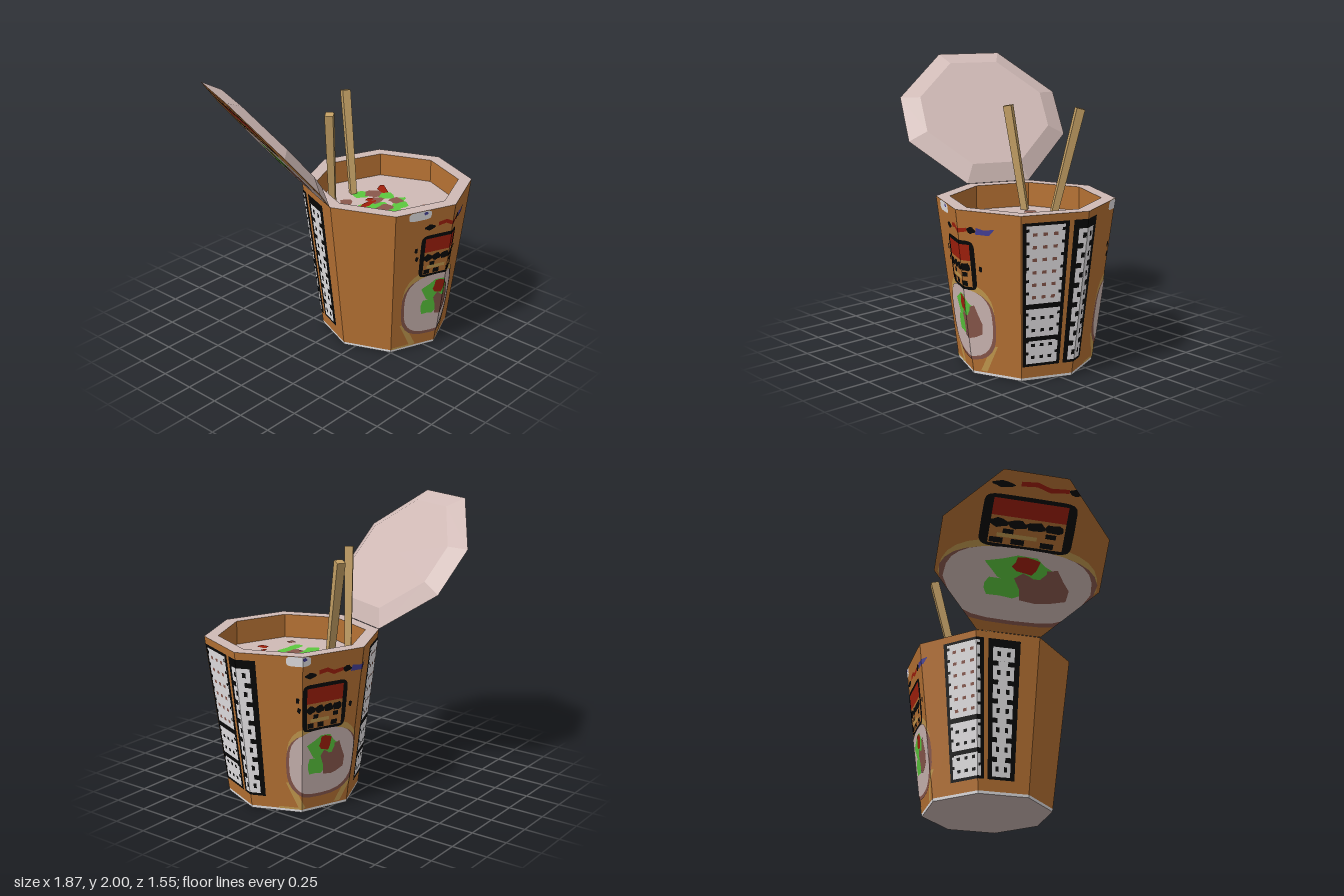
import * as THREE from 'three';
import { mergeGeometries } from 'three/addons/utils/BufferGeometryUtils.js';

const R0 = 0.46, R1 = 0.605, RIM = 0.51, H = 1.14, CX = 0.33, CZ = 0.17, SOUP = 0.97;

function makeMaterials() {
  const colors = {
    cardboard: 0xb87334, paper: 0xd0bab6, white: 0xe8e6e8, black: 0x070707, red: 0xa3200c,
    green: 0x5cc83e, meat: 0x8a584c, blue: 0x464098, wood: 0xc4a065, tan: 0xc69c50,
  };
  const mats = {};
  for (const [name, color] of Object.entries(colors)) {
    mats[name] = new THREE.MeshStandardMaterial({ color });
    mats[name].name = name;
  }
  return mats;
}

// faceted normals
function facet(geo) {
  const g = geo.index ? geo.toNonIndexed() : geo;
  g.computeVertexNormals();
  return g;
}

// keep the part of a polygon on one side of x = limit
function clip(pts, limit, sign) {
  const out = [];
  pts.forEach((p, i) => {
    const q = pts[(i + 1) % pts.length];
    const a = (p[0] - limit) * sign, b = (q[0] - limit) * sign;
    if (a >= 0) out.push(p);
    if ((a > 0 && b < 0) || (a < 0 && b > 0)) {
      const t = a / (a - b);
      out.push([limit, p[1] + (q[1] - p[1]) * t]);
    }
  });
  return out;
}

const rect = (x0, y0, x1, y1) => [[x0, y0], [x1, y0], [x1, y1], [x0, y1]];

// superellipse outline
function oval(cx, cy, rx, ry, power = 1, n = 28) {
  return Array.from({ length: n }, (_, i) => {
    const a = (i / n) * Math.PI * 2, c = Math.cos(a), s = Math.sin(a);
    return [cx + rx * Math.sign(c) * Math.abs(c) ** power, cy + ry * Math.sign(s) * Math.abs(s) ** power];
  });
}

// ragged oval
function blob(cx, cy, rx, ry, seed = 1) {
  return oval(cx, cy, rx, ry, 1, 11).map(([x, y], i) => {
    const k = 1.03 + 0.16 * Math.sin(seed * 7.3 + i * 2.4);
    return [cx + (x - cx) * k, cy + (y - cy) * k];
  });
}

// collects flat shapes by colour and lays them on a surface
function painter(mats, map, sector = 0) {
  const lists = {};
  return {
    paint(color, layer, pts) {
      let pieces = [[pts, 0]];
      if (sector) {
        const xs = pts.map((p) => p[0]);
        pieces = [];
        for (let k = Math.floor(Math.min(...xs) / sector); k * sector < Math.max(...xs); k++)
          pieces.push([clip(clip(pts, k * sector, 1), (k + 1) * sector, -1), k]);
      }
      for (const [poly, k] of pieces) {
        if (poly.length < 3) continue;
        const g = new THREE.ShapeGeometry(new THREE.Shape(poly.map(([x, y]) => new THREE.Vector2(x, y))));
        const pos = g.attributes.position;
        for (let i = 0; i < pos.count; i++) pos.setXYZ(i, ...map(pos.getX(i), pos.getY(i), layer * 0.002, k));
        (lists[color] ??= []).push(facet(g));
      }
    },
    finish(name) {
      const group = new THREE.Group();
      group.name = name;
      for (const [color, list] of Object.entries(lists)) {
        const mesh = new THREE.Mesh(mergeGeometries(list), mats[color]);
        mesh.name = `${name} ${color}`;
        group.add(mesh);
      }
      return group;
    },
  };
}

// (degrees, height) to the eight-sided wall
function wall(deg, y, off, k) {
  const r = R0 + ((R1 - R0) * y) / H + off * 1.1;
  const a = (k * Math.PI) / 4, b = a + Math.PI / 4, t = deg / 45 - k;
  return [
    r * (Math.sin(a) * (1 - t) + Math.sin(b) * t), y,
    r * (Math.cos(a) * (1 - t) + Math.cos(b) * t),
  ];
}

// picture coordinates to the lid's outer face, kept inside its outline
function lidFace(x, y, off) {
  const z = THREE.MathUtils.clamp(0.6 - y * 1.06, -0.555, 0.555);
  const half = 0.592 - Math.max(0, Math.abs(z) - 0.187) * 0.973;
  return [THREE.MathUtils.clamp(-x * 0.019, -half, half), -off, z];
}

// bowl, framed badge and small marks
function picture(paint, c, full) {
  const P = (color, layer, pts) => paint(color, layer, pts.map(([x, y]) => [x + c, y]));
  P('tan', 1, oval(0, 0.39, 30, 0.26, 0.75));
  P('meat', 2, oval(0, 0.35, 30.5, 0.25, 0.72));
  P('paper', 3, oval(0, 0.365, 28, 0.24, 0.72));
  P('green', 4, blob(0, 0.47, 12, 0.085, 2));
  P('green', 4, blob(-5, 0.34, 8, 0.065, 4));
  P('meat', 4.4, blob(9, 0.37, 10, 0.115, 3));
  P('green', 4.6, blob(6, 0.46, 4, 0.04, 6));
  P('red', 4.8, blob(2, 0.5, 5, 0.055, 5));
  P('black', 1.5, oval(0, 0.767, 17.5, 0.17, 0.25));
  P('cardboard', 2.5, rect(-14, 0.62, 14, 0.8));
  P('red', 2.5, rect(-14, 0.8, 14, 0.91));
  P('tan', 3, rect(-11, 0.665, 4, 0.69));
  for (const x of [-11, -4, 3, 10]) P('black', 3.5, blob(x, 0.755, 3.6, 0.028, x));
  for (const x of [-11, -3, 8]) P('black', 3.5, rect(x - 2.5, 0.625, x + 2.5, 0.66));
  for (const x of [-7, 9]) P('black', 3.5, rect(x - 2, 0.69, x + 2, 0.72));
  P('black', 1, blob(-11.5, 1.0, 4, 0.02, 1));
  P('red', 1, [[-5, 1.0], [1, 1.01], [6, 0.985], [13, 1.0], [13, 1.025], [6, 1.015], [1, 1.04], [-5, 1.03]]);
  P('black', 1, blob(16, 1.01, 3, 0.022, 2));
  if (!full) return;
  for (const s of [-1, 1])
    P('tan', 1, [[s * 31, 0.22], [s * 20, 0.03], [s * 14, 0.03], [s * 26, 0.22]]);
  P('tan', 1, rect(-38, 0.02, -16, 0.035));
  P('blue', 1, [[19, 0.985], [29, 0.985], [33, 1.03], [25, 1.02], [20, 1.03]]);
  P('white', 1, oval(-20, 1.105, 8.5, 0.034, 0.5));
  P('blue', 2, blob(-16, 1.12, 1.5, 0.012, 2));
  for (const [x, y] of [[-21, 0.83], [-20, 0.76], [21, 0.75]]) P('black', 1, blob(x, y, 1.3, 0.02, y * 9));
}

// two upright dark panels with pale patterned blocks
function panels(paint, c) {
  paint('black', 1, rect(c, 0.1, c + 31.5, 1.09));
  for (const [y0, y1] of [[0.54, 1.07], [0.31, 0.505], [0.12, 0.28]]) {
    paint('white', 2, rect(c + 2.7, y0, c + 28.7, y1));
    const color = y0 > 0.5 ? 'meat' : 'black';
    for (let y = y0 + 0.035; y < y1 - 0.03; y += 0.085) {
      for (const x of [7, 14, 21]) paint(color, 3, rect(c + x, y, c + x + 3, y + 0.022));
      for (const x of [2.7, 26.7]) paint('black', 3, rect(c + x, y + 0.03, c + x + 2, y + 0.05));
    }
  }
  paint('black', 1, rect(c + 34.5, 0.1, c + 57.5, 1.09));
  paint('white', 2, rect(c + 42, 0.12, c + 49, 0.93));
  for (let i = 0; i < 7; i++) {
    const y = 0.12 + i * 0.135;
    paint('white', 2.5, rect(c + 38, y, c + 53.5, y + 0.1));
    for (const x of [41, 48]) paint('black', 3, rect(c + x, y + 0.035, c + x + 2.5, y + 0.07));
  }
}

export function createModel() {
  const mats = makeMaterials();
  const model = new THREE.Group();
  const cup = new THREE.Group();
  cup.name = 'cup';
  cup.position.set(CX, 0, CZ);
  model.add(cup);

  const add = (parent, name, geo, mat, y = 0) => {
    const m = new THREE.Mesh(facet(geo), mat);
    m.name = name;
    m.position.y = y;
    parent.add(m);
    return m;
  };
  const tube = (top, bottom, h) => new THREE.CylinderGeometry(top, bottom, h, 8, 1, true);

  // cup shell
  add(cup, 'cupWall', tube(R1, 0.4626, H - 0.02), mats.cardboard, (H + 0.02) / 2);
  add(cup, 'baseBand', tube(0.4626, R0, 0.02), mats.white, 0.01);
  add(cup, 'cupBottom', new THREE.CircleGeometry(R0, 8).rotateX(Math.PI / 2), mats.paper);
  add(cup, 'rim', new THREE.RingGeometry(RIM, R1, 8).rotateX(-Math.PI / 2), mats.paper, H);
  add(cup, 'innerWall', tube(RIM, RIM, H - SOUP).scale(-1, 1, 1), mats.cardboard, (H + SOUP) / 2);
  add(cup, 'soup', new THREE.CircleGeometry(RIM, 8).rotateX(-Math.PI / 2), mats.paper, SOUP);

  // printed wall
  const print = painter(mats, wall, 45);
  for (const c of [-6.5, 152.5]) picture(print.paint, c, true);
  for (const c of [46, 199]) panels(print.paint, c);
  cup.add(print.finish('wallPrint'));

  // toppings floating on the soup: x, z, half sizes
  const food = painter(mats, (x, y, off) => [x - CX, SOUP + off, -y - CZ]);
  const toppings = {
    green: [[0.31, -0.06, 0.06, 0.06], [0.17, 0.09, 0.07, 0.035], [0.12, 0.16, 0.055, 0.05], [0.24, 0.15, 0.08, 0.05],
      [0.13, 0.3, 0.055, 0.04], [0.24, 0.3, 0.09, 0.04], [0.36, 0.27, 0.07, 0.05], [0.42, 0.08, 0.055, 0.075],
      [0.44, 0.21, 0.04, 0.03]],
    meat: [[0.14, -0.05, 0.045, 0.045], [0.38, 0, 0.06, 0.06], [0.3, 0.09, 0.065, 0.045], [0.25, 0.22, 0.065, 0.05],
      [0.4, 0.2, 0.05, 0.05], [0.06, 0.4, 0.03, 0.03], [0.47, 0.43, 0.03, 0.035]],
    red: [[0.21, 0.09, 0.08, 0.025], [0.28, 0.05, 0.03, 0.025], [0.28, 0.48, 0.03, 0.04], [0.34, 0.42, 0.025, 0.015]],
  };
  Object.entries(toppings).forEach(([color, list], layer) =>
    list.forEach(([x, z, rx, rz], i) => food.paint(color, layer + 1, blob(x, -z, rx, rz, i + layer))));
  food.paint('red', 3, [[0.43, -0.05], [0.47, -0.07], [0.55, 0.04], [0.53, 0.06], [0.46, 0.03]]);
  cup.add(food.finish('toppings'));

  // chopsticks: top and lower end, one flat side turned along the lean
  const up = new THREE.Vector3(0, 1, 0);
  for (const [top, low] of [
    [[-0.065, 1.705, -0.025], [0.045, 0.93, -0.094]],
    [[0.39, 1.705, -0.28], [0.294, 0.93, -0.115]],
  ]) {
    const a = new THREE.Vector3(...top), b = new THREE.Vector3(...low);
    const dir = a.clone().sub(b);
    const turn = Math.atan2(-dir.x, -dir.z) - Math.PI / 4;
    const stick = add(model, 'chopstick', new THREE.CylinderGeometry(0.042, 0.032, dir.length(), 4).rotateY(turn), mats.wood);
    stick.position.copy(a).add(b).multiplyScalar(0.5);
    stick.quaternion.setFromUnitVectors(up, dir.normalize());
  }

  // opened lid, hinged on one rim edge
  const lid = new THREE.Group();
  lid.name = 'lid';
  const hinge = new THREE.Vector3(0.386, 0, -0.9225);
  const tilt = new THREE.Vector3(0.71, 0.64, 0.297).normalize();
  const across = hinge.clone().cross(tilt);
  lid.quaternion.setFromRotationMatrix(new THREE.Matrix4().makeBasis(hinge, tilt, across));
  lid.position.set(-0.52, 1.57, -0.18);
  model.add(lid);
  const plug = new THREE.CylinderGeometry(0.47, R1, 0.06, 8, 1, false, Math.PI / 8);
  // side corners sit a little wider and closer to the middle line
  const pos = plug.attributes.position;
  for (let i = 0; i < pos.count; i++)
    if (Math.abs(pos.getX(i)) > Math.abs(pos.getZ(i))) pos.setXYZ(i, pos.getX(i) * 1.063, pos.getY(i), pos.getZ(i) * 0.81);
  add(lid, 'lidPlate', plug, [mats.paper, mats.paper, mats.cardboard], 0.03);
  const cover = painter(mats, lidFace);
  picture(cover.paint, 0, false);
  lid.add(cover.finish('lidPrint'));

  return model;
}
